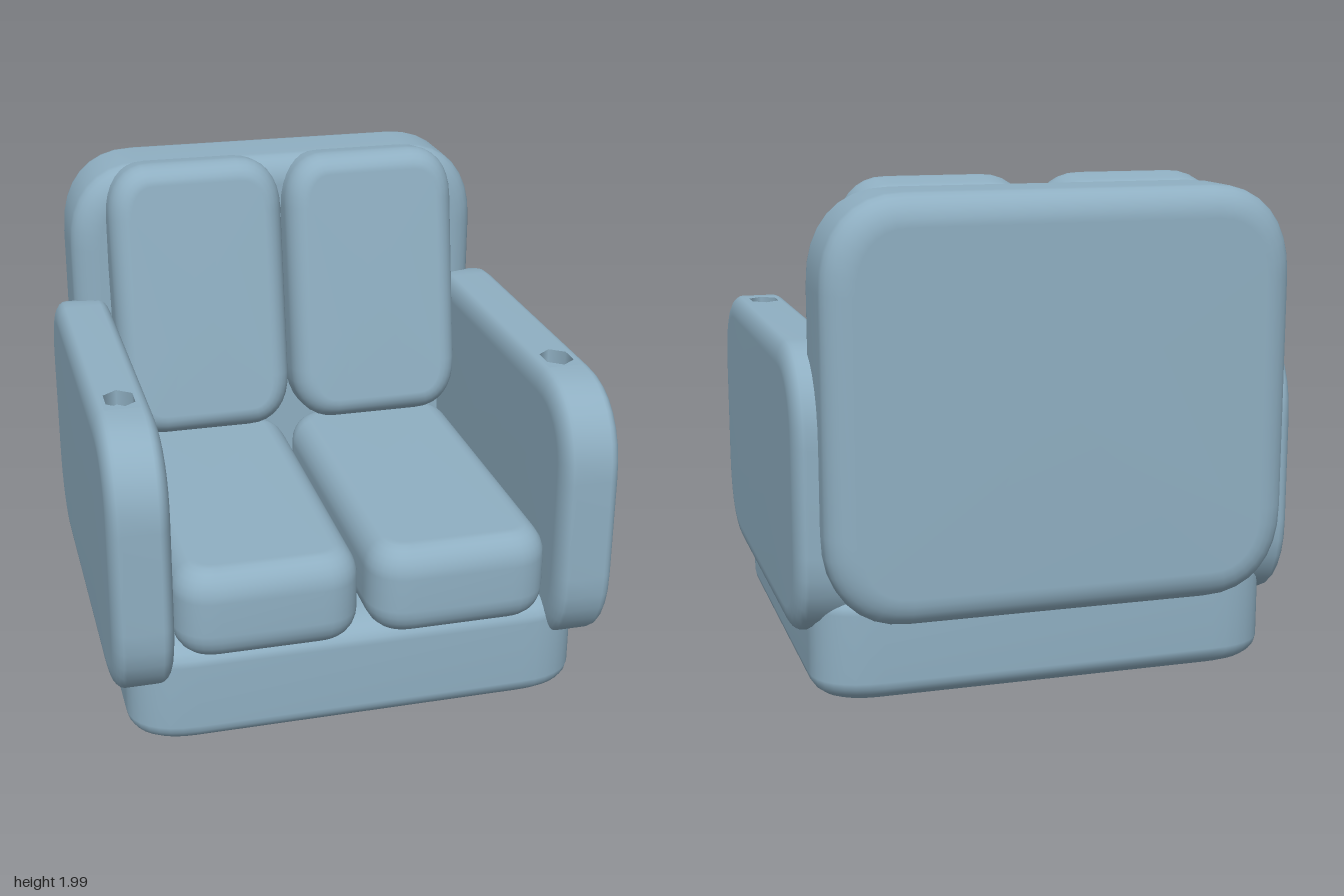
import * as THREE from 'three';

const STEPS = 8; // points per outline corner
const EDGE = 6;  // steps across the rounded edge

// Rounded rectangle, anticlockwise from the right; split adds one point on the top edge.
function outline(w, h, rx, ry, split) {
  const points = [];
  [[1, 1], [-1, 1], [-1, -1], [1, -1]].forEach(([sx, sy], q) => {
    for (let i = 0; i <= STEPS; i++) {
      const a = (q + i / STEPS) * Math.PI / 2;
      const c = Math.pow(Math.abs(Math.cos(a)), 2 / 2.3);
      const s = Math.pow(Math.abs(Math.sin(a)), 2 / 2.3);
      points.push([sx * (w / 2 - rx + rx * c), sy * (h / 2 - ry + ry * s)]);
    }
    if (q === 0 && split !== undefined) points.push([split, h / 2]);
  });
  return points;
}

// Upholstered slab in XY with thickness t along Z.
// Its edge is rounded by inset (in XY) and bevel (along Z).
function slab({ w, h, t, rx, ry, inset, bevel, split }) {
  const profile = [];
  for (let k = 0; k <= EDGE; k++) {
    const a = k / EDGE * Math.PI / 2;
    profile.push([inset * (1 - Math.sin(a)), -t / 2 + bevel * (1 - Math.cos(a))]);
  }
  profile.push(...profile.map(([i, z]) => [i, -z]).reverse());

  const positions = [], index = [];
  let n = 0;
  for (const [i, z] of profile) {
    const ring = outline(w - 2 * i, h - 2 * i, Math.max(rx - i, 0.03), Math.max(ry - i, 0.03), split);
    n = ring.length;
    ring.forEach(([x, y]) => positions.push(x, y, z));
  }
  const last = (profile.length - 1) * n;
  const backCentre = positions.length / 3, frontCentre = backCentre + 1;
  positions.push(0, 0, -t / 2, 0, 0, t / 2);

  for (let k = 0; k < profile.length - 1; k++) {
    for (let j = 0; j < n; j++) {
      // leave the opening for the recess free
      if (split !== undefined && k === EDGE && j === STEPS) continue;
      const a = k * n + j, b = k * n + (j + 1) % n;
      index.push(a, b, b + n, a, b + n, a + n);
    }
  }
  for (let j = 0; j < n; j++) {
    const m = (j + 1) % n;
    index.push(backCentre, m, j, frontCentre, last + j, last + m);
  }
  const geometry = new THREE.BufferGeometry();
  geometry.setAttribute('position', new THREE.Float32BufferAttribute(positions, 3));
  geometry.setIndex(index);
  geometry.computeVertexNormals();
  return geometry;
}

export function createModel() {
  const group = new THREE.Group();
  const fabric = new THREE.MeshStandardMaterial({ color: 0x8fafc2, side: THREE.DoubleSide });
  fabric.name = 'blueGreyFabric';

  const add = (name, geometry, x, y, z, parent = group) => {
    const mesh = new THREE.Mesh(geometry, fabric);
    mesh.name = name;
    mesh.position.set(x, y, z);
    parent.add(mesh);
    return mesh;
  };

  // Plinth under the seat
  const base = slab({ w: 1.86, h: 1.74, t: 0.47, rx: 0.26, ry: 0.2, inset: 0.17, bevel: 0.1 });
  add('base', base.rotateX(-Math.PI / 2), 0, 0.245, 0.02);

  // Backrest
  const back = slab({ w: 1.82, h: 1.61, t: 0.43, rx: 0.32, ry: 0.36, inset: 0.12, bevel: 0.1 });
  add('backrest', back, 0, 1.165, -0.785);

  // Arms, each with a small six-sided recess on top
  const arm = slab({ w: 1.85, h: 1.13, t: 0.24, rx: 0.35, ry: 0.36, inset: 0.09, bevel: 0.05, split: 0.375 });
  arm.rotateY(-Math.PI / 2);

  const rim = new THREE.Shape([[-0.07, -0.1], [0.07, -0.1], [0.07, 0.1], [-0.07, 0.1]]
    .map(([x, y]) => new THREE.Vector2(x, y)));
  const hexagon = [];
  for (let i = 0; i < 6; i++) {
    const a = i * Math.PI / 3;
    hexagon.push(new THREE.Vector2(0.065 * Math.sin(a), 0.086 * Math.cos(a)));
  }
  rim.holes.push(new THREE.Path(hexagon));
  const rimGeometry = new THREE.ShapeGeometry(rim).rotateX(-Math.PI / 2);
  const floorGeometry = new THREE.ShapeGeometry(new THREE.Shape(hexagon)).rotateX(-Math.PI / 2);
  const wallGeometry = new THREE.CylinderGeometry(1, 1, 0.06, 6, 1, true).scale(0.065, 1, 0.086);

  for (const [side, sign] of [['left', 1], ['right', -1]]) {
    const armGroup = new THREE.Group();
    armGroup.name = side + 'Arm';
    armGroup.position.x = sign * 0.88;
    group.add(armGroup);
    add(side + 'ArmPad', arm, 0, 0.825, 0.075, armGroup);
    add(side + 'RecessRim', rimGeometry, 0, 1.39, 0.55, armGroup);
    add(side + 'RecessWall', wallGeometry, 0, 1.36, 0.55, armGroup);
    add(side + 'RecessFloor', floorGeometry, 0, 1.33, 0.55, armGroup);
  }

  // Seat and back cushions
  const seat = slab({ w: 0.735, h: 1.5, t: 0.38, rx: 0.17, ry: 0.17, inset: 0.1, bevel: 0.12 });
  seat.rotateX(-Math.PI / 2);
  const pillow = slab({ w: 0.75, h: 1.18, t: 0.32, rx: 0.19, ry: 0.23, inset: 0.09, bevel: 0.11 });
  for (const [side, sign] of [['left', 1], ['right', -1]]) {
    add(side + 'SeatCushion', seat, sign * 0.385, 0.615, 0.21);
    add(side + 'BackCushion', pillow, sign * 0.385, 1.405, -0.495).rotation.x = -0.165;
  }
  return group;
}
